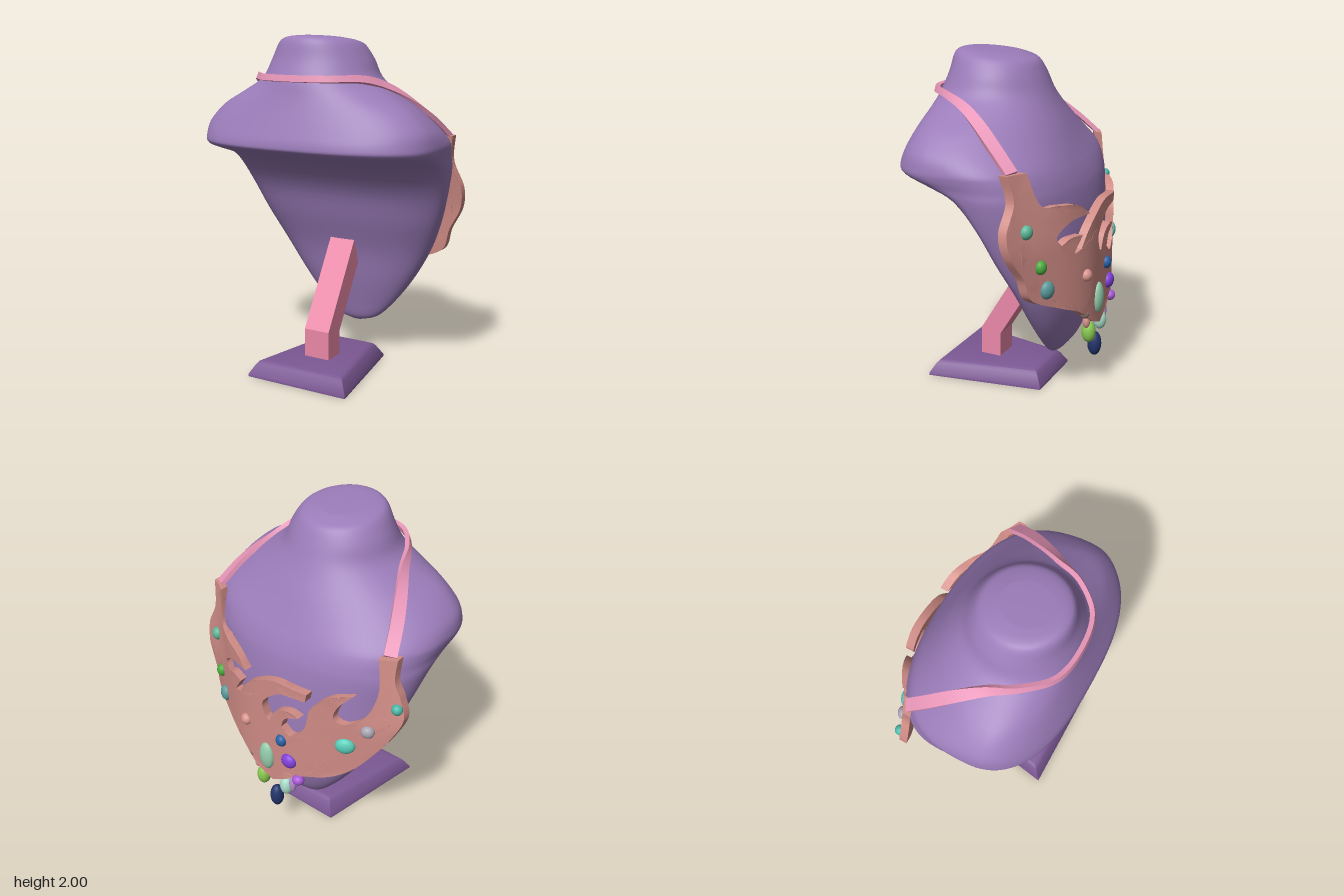
import * as THREE from 'three';
import { toCreasedNormals } from 'three/addons/utils/BufferGeometryUtils.js';

const V = (x, y, z) => new THREE.Vector3(x, y, z);
const { smoothstep, lerp } = THREE.MathUtils;
const mat = (color, side = THREE.FrontSide) => new THREE.MeshStandardMaterial({ color, side });

function add(parent, name, geometry, material) {
  const mesh = new THREE.Mesh(geometry, material);
  mesh.name = name;
  parent.add(mesh);
  return mesh;
}

// Skin through closed rings of equal length, with both ends capped
function loft(rings) {
  const n = rings[0].length, index = [];
  const pts = rings.flat();
  for (let i = 0; i < rings.length - 1; i++) {
    for (let j = 0; j < n; j++) {
      const a = i * n + j, b = i * n + (j + 1) % n;
      index.push(a, b, b + n, a, b + n, a + n);
    }
  }
  for (const first of [true, false]) {
    const ring = first ? rings[0] : rings[rings.length - 1];
    const start = first ? 0 : (rings.length - 1) * n;
    const c = ring.reduce((s, p) => s.add(p), V(0, 0, 0)).divideScalar(n);
    const ci = pts.push(c) - 1;
    for (let j = 0; j < n; j++) {
      const a = start + j, b = start + (j + 1) % n;
      index.push(ci, first ? b : a, first ? a : b);
    }
  }
  const g = new THREE.BufferGeometry().setFromPoints(pts);
  g.setIndex(index);
  g.computeVertexNormals();
  return g;
}

// Bust sections: chest z, chest y, back z, back y, half width, z of widest point, roundness
const SECTIONS = [
  [0.0, 1.975, 0.28, 2.0, 0.12, 0.14, 2], [-0.06, 1.955, 0.35, 1.995, 0.2, 0.14, 2],
  [-0.11, 1.93, 0.385, 1.965, 0.245, 0.14, 2], [-0.15, 1.86, 0.41, 1.87, 0.295, 0.13, 2],
  [-0.19, 1.77, 0.455, 1.76, 0.345, 0.15, 2], [-0.23, 1.69, 0.475, 1.68, 0.46, 0.2, 2],
  [-0.28, 1.6, 0.5, 1.6, 0.6, 0.22, 2], [-0.33, 1.5, 0.535, 1.5, 0.7, 0.2, 2.2],
  [-0.37, 1.42, 0.56, 1.42, 0.73, 0.14, 2.5], [-0.395, 1.37, 0.545, 1.375, 0.728, 0.12, 2.6],
  [-0.42, 1.31, 0.42, 1.335, 0.715, 0.06, 2.5], [-0.44, 1.24, 0.2, 1.265, 0.705, -0.02, 2.3],
  [-0.46, 1.1, 0.05, 1.1, 0.665, -0.1, 2.1], [-0.47, 0.9, -0.03, 0.9, 0.595, -0.18, 2.1],
  [-0.465, 0.7, -0.11, 0.7, 0.5, -0.25, 2.1], [-0.43, 0.5, -0.16, 0.5, 0.375, -0.28, 2.1],
  [-0.38, 0.33, -0.205, 0.34, 0.245, -0.28, 2], [-0.32, 0.24, -0.235, 0.24, 0.14, -0.28, 2],
  [-0.28, 0.205, -0.265, 0.205, 0.03, -0.272, 2],
];

function bustGeometry() {
  const curve = (a, b, c) => new THREE.CatmullRomCurve3(SECTIONS.map(s => V(s[a], s[b], s[c])), false, 'catmullrom', 0.5);
  const c1 = curve(0, 1, 2), c2 = curve(3, 4, 5), c3 = curve(6, 6, 6);
  const rings = [], steps = 72, sides = 72;
  for (let i = 0; i <= steps; i++) {
    const { x: zf, y: yf, z: zb } = c1.getPoint(i / steps);
    const { x: yb, y: w, z: zc } = c2.getPoint(i / steps);
    const e = 2 / c3.getPoint(i / steps).x;
    rings.push(Array.from({ length: sides }, (_, j) => {
      const a = j / sides * Math.PI * 2, c = Math.cos(a), s = Math.sin(a);
      const x = w * Math.sign(c) * Math.abs(c) ** e;
      const z = zc + (s > 0 ? zb - zc : zf - zc) * Math.abs(s) ** e;
      return V(x, lerp(yf, yb, (z - zf) / (zb - zf)), z);
    }));
  }
  return loft(rings);
}

// Outer face of the curved necklace plate
function plateZ(x, y) {
  const ax = Math.abs(x);
  return -0.53 + 0.28 * smoothstep(ax, 0.1, 0.9) + 0.14 * Math.max(0, y - 1) * smoothstep(ax, 0.35, 0.6);
}

// Plate outline: each run is a smooth curve, runs meet in sharp corners
const OUTLINE = [
  [[0.64, 1.28], [0.71, 1.13], [0.7, 1.0], [0.62, 0.86], [0.57, 0.73], [0.4, 0.64], [0.25, 0.57], [0.12, 0.47], [0, 0.42]],
  [[-0.1, 0.48], [-0.2, 0.55], [-0.37, 0.6], [-0.49, 0.68], [-0.6, 0.82], [-0.68, 0.95], [-0.73, 1.08], [-0.7, 1.2], [-0.66, 1.3], [-0.66, 1.43]],
  [[-0.57, 1.43]],
  [[-0.59, 1.22], [-0.54, 1.06], [-0.45, 1.0], [-0.39, 1.03], [-0.41, 1.11], [-0.48, 1.19]],
  [[-0.36, 1.16], [-0.27, 1.07], [-0.24, 0.94], [-0.2, 0.87]],
  [[-0.14, 0.83], [-0.08, 0.87]],
  [[-0.11, 0.94], [-0.2, 0.98]],
  [[-0.13, 1.0], [-0.04, 0.96], [0.01, 0.87]],
  [[0.04, 0.9], [0.05, 0.99], [-0.08, 1.1], [-0.24, 1.11]],
  [[-0.25, 1.16]],
  [[-0.04, 1.17], [0.15, 1.08], [0.25, 0.95]],
  [[0.3, 0.94], [0.24, 1.03]],
  [[0.33, 1.03], [0.39, 1.0]],
  [[0.42, 1.06], [0.32, 1.13], [0.18, 1.14]],
  [[0.28, 1.21], [0.4, 1.23], [0.5, 1.25], [0.55, 1.43]],
];

function plateGeometry() {
  const shape = new THREE.Shape().moveTo(0.66, 1.43);
  for (const run of OUTLINE) {
    if (run.length === 1) shape.lineTo(...run[0]);
    else shape.splineThru(run.map(p => new THREE.Vector2(...p)));
  }
  const flat = new THREE.ExtrudeGeometry(shape, { depth: 0.05, bevelEnabled: false, curveSegments: 20 });
  const src = (flat.index ? flat.toNonIndexed() : flat).attributes.position;
  // Split long triangles so that the plate can bend
  const out = [];
  const split = (a, b, c, depth) => {
    const ab = a.distanceTo(b), bc = b.distanceTo(c), ca = c.distanceTo(a);
    const m = Math.max(ab, bc, ca);
    if (m < 0.09 || depth > 10) return out.push(a, b, c);
    if (m === bc) return split(b, c, a, depth);
    if (m === ca) return split(c, a, b, depth);
    const mid = a.clone().lerp(b, 0.5);
    split(a, mid, c, depth + 1);
    split(mid, b, c, depth + 1);
  };
  const at = i => V(0, 0, 0).fromBufferAttribute(src, i);
  for (let i = 0; i < src.count; i += 3) split(at(i), at(i + 1), at(i + 2), 0);
  const g = new THREE.BufferGeometry().setFromPoints(out.map(p => V(p.x, p.y, p.z + plateZ(p.x, p.y))));
  return toCreasedNormals(g, 0.6);
}

// Flat strap around the neck: path and outward direction for one half, mirrored
function strapGeometry() {
  const half = [
    [V(0.61, 1.43, -0.25), V(0.5, 0.5, -0.7)], [V(0.56, 1.54, -0.13), V(0.5, 0.6, -0.5)],
    [V(0.49, 1.64, 0), V(0.6, 0.7, -0.3)], [V(0.41, 1.72, 0.14), V(0.7, 0.6, 0.1)],
    [V(0.34, 1.765, 0.28), V(0.75, 0.4, 0.5)], [V(0.2, 1.77, 0.425), V(0.35, 0.25, 0.9)],
  ];
  const flip = v => V(-v.x, v.y, v.z);
  const all = [...half, [V(0, 1.77, 0.462), V(0, 0.2, 1)], ...half.map(([p, n]) => [flip(p), flip(n)]).reverse()];
  const path = new THREE.CatmullRomCurve3(all.map(a => a[0])), normals = new THREE.CatmullRomCurve3(all.map(a => a[1]));
  const rings = [];
  for (let i = 0; i <= 60; i++) {
    const t = i / 60, p = path.getPoint(t), T = path.getTangent(t), N = normals.getPoint(t);
    N.addScaledVector(T, -N.dot(T)).normalize();
    const U = T.clone().cross(N), w = lerp(0.018, 0.036, smoothstep(Math.abs(t - 0.5), 0.1, 0.4));
    rings.push([[1, -1], [1, 1], [-1, 1], [-1, -1]].map(([n, u]) =>
      p.clone().addScaledVector(N, n * 0.013).addScaledVector(U, u * w)));
  }
  return toCreasedNormals(loft(rings), 0.6);
}

// Stones set on the plate: x, y, half width, half height, colour
const STONES = [
  [0.59, 1.12, 0.037, 0.04, 0x5cb898], [0.52, 0.91, 0.035, 0.04, 0x4aaa3c], [0.48, 0.77, 0.045, 0.052, 0x5a9a9c],
  [0.2, 0.78, 0.036, 0.036, 0xd8948c], [-0.08, 0.77, 0.035, 0.038, 0x2860a4], [0.04, 0.59, 0.052, 0.095, 0x94ccac],
  [-0.13, 0.64, 0.05, 0.047, 0x8040d8], [-0.56, 0.97, 0.04, 0.038, 0xa8a4b0], [-0.45, 0.85, 0.058, 0.05, 0x58ccb8],
  [-0.69, 1.14, 0.032, 0.032, 0x4cb8a8], [-0.19, 0.52, 0.037, 0.032, 0xa858d8],
];
// Beads hanging from the lower edge, same columns
const BEADS = [
  [0.17, 0.53, 0.027, 0.027, 0x8c7870], [0.14, 0.47, 0.022, 0.04, 0xd8948c], [0.1, 0.39, 0.042, 0.065, 0x88c850],
  [0, 0.275, 0.042, 0.076, 0x24346c], [-0.08, 0.4, 0.04, 0.062, 0xa8dcc8], [-0.13, 0.44, 0.022, 0.062, 0xb890cc],
];

export function createModel() {
  const model = new THREE.Group();
  model.name = 'necklaceDisplay';

  add(model, 'bust', bustGeometry(), mat(0x9b7cb9));

  // Foot: tapered plate, narrower at the chest side
  const foot = [[0.075, 0.1], [0.05, 0.092], [0.035, 0.075], [0, 0.015], [0, 0]].map(([d, y]) => [
    V(0.33 - d, y, 0.46 - d), V(-0.33 + d, y, 0.46 - d), V(-0.21 + d, y, -0.24 + d), V(0.21 - d, y, -0.24 + d)]);
  add(model, 'foot', toCreasedNormals(loft(foot), 0.7), mat(0x7c5894));

  // Bent post, drawn from the side and extruded across x
  const side = new THREE.Shape([[0.22, 0.08], [0.22, 0.27], [-0.1, 0.795], [-0.16, 0.66], [0.09, 0.25], [0.09, 0.08]]
    .map(([z, y]) => new THREE.Vector2(-z, y)));
  const post = new THREE.ExtrudeGeometry(side, { depth: 0.165, bevelEnabled: false });
  post.translate(0, 0, -0.0825).rotateY(Math.PI / 2);
  add(model, 'post', post, mat(0xea88a8));

  const necklace = new THREE.Group();
  necklace.name = 'necklace';
  model.add(necklace);
  add(necklace, 'strap', strapGeometry(), mat(0xe896b8, THREE.DoubleSide));
  add(necklace, 'plate', plateGeometry(), mat(0xd08c86));

  const ball = new THREE.SphereGeometry(1, 24, 16);
  for (const [x, y, w, h, color] of STONES) {
    const stone = add(necklace, 'stone', ball, mat(color));
    const slope = (plateZ(x + 0.01, y) - plateZ(x - 0.01, y)) / 0.02;
    stone.position.set(x, y, plateZ(x, y));
    stone.rotation.y = -Math.atan(slope);
    stone.scale.set(w, h, 0.033);
  }
  for (const [x, y, w, h, color] of BEADS) {
    const bead = add(necklace, 'bead', ball, mat(color));
    bead.position.set(x, y, -0.5);
    bead.scale.set(w, h, w);
  }
  return model;
}
